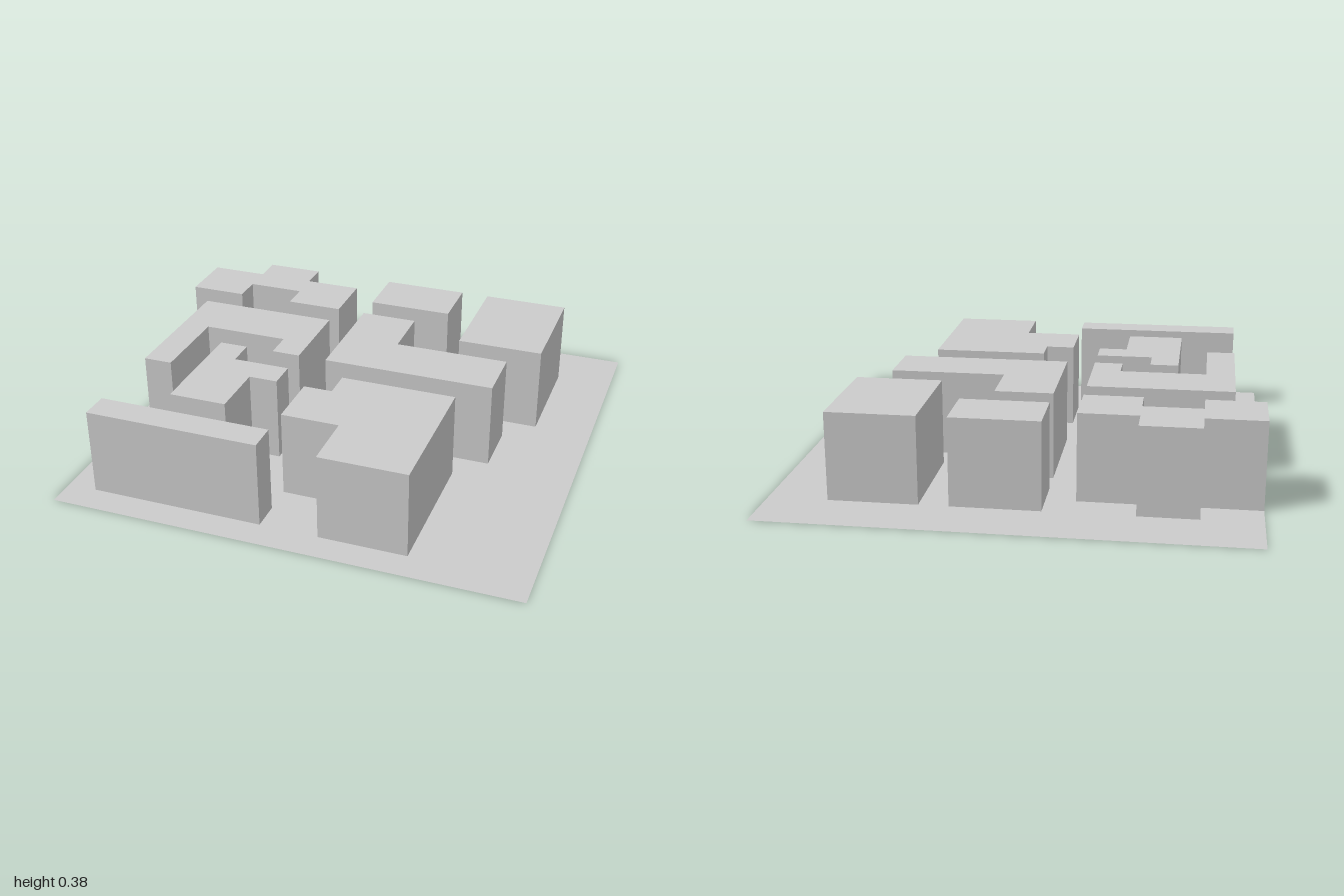
import * as THREE from 'three';
import { mergeGeometries } from 'three/addons/utils/BufferGeometryUtils.js';

const UNIT = 1 / 8; // plan grid step
const HEIGHT = 3 * UNIT;

const rect = (x0, z0, x1, z1) => [[x0, z0], [x1, z0], [x1, z1], [x0, z1]];

// Footprints as [x, z] grid corners, clockwise seen from above
const edgeBlock = [[-8, -5], [-6, -5], [-6, -6], [-4, -6], [-4, -5], [-2, -5],
  [-2, -3], [-4, -3], [-4, -4], [-6, -4], [-6, -3], [-8, -3]];
const innerBlocks = {
  backBlock: rect(-1, -6, 2, -4),
  cornerBlock: rect(3, -6, 6, -2),
  elbowBlock: [[-1, -3], [1, -3], [1, -1], [5, -1], [5, 1], [-1, 1]],
  hookBlock: [[-7, -2], [-2, -2], [-2, 1], [-3, 1], [-3, 0], [-6, 0], [-6, 3], [-7, 3]],
  courtBlock: [[-5, 1], [-4, 1], [-4, 2], [-2, 2], [-2, 3], [-3, 3], [-3, 5], [-5, 5]],
  frontSlab: rect(-7, 6, -1, 7),
  frontBlock: [[0, 2], [4, 2], [4, 7], [1, 7], [1, 5], [-1, 5], [-1, 3], [0, 3]],
};

const toPoints = (plan) => plan.map(([x, z]) => new THREE.Vector2(x * UNIT, -z * UNIT));

// Flat horizontal sheet facing up, with optional openings
function sheet(plan, y, holes = []) {
  const shape = new THREE.Shape(toPoints(plan));
  shape.holes = holes.map((h) => new THREE.Path(toPoints(h)));
  return new THREE.ShapeGeometry(shape).rotateX(-Math.PI / 2).translate(0, y, 0);
}

// One upright wall panel between two plan corners, facing outward
function wall([ax, az], [bx, bz]) {
  const dx = (bx - ax) * UNIT, dz = (bz - az) * UNIT;
  return new THREE.PlaneGeometry(Math.hypot(dx, dz), HEIGHT)
    .rotateY(Math.atan2(dz, -dx))
    .translate((ax + bx) * UNIT / 2, HEIGHT / 2, (az + bz) * UNIT / 2);
}

// Hollow building: roof and walls, open underneath
function building(plan) {
  const walls = plan.map((p, i) => wall(p, plan[(i + 1) % plan.length]));
  return mergeGeometries([sheet(plan, HEIGHT), ...walls]);
}

export function createModel() {
  const group = new THREE.Group();
  group.name = 'cityBlocks';
  const material = new THREE.MeshStandardMaterial({
    color: 0xcccccc, flatShading: true, side: THREE.DoubleSide,
  });
  const add = (name, geometry) => {
    const mesh = new THREE.Mesh(geometry, material);
    mesh.name = name;
    group.add(mesh);
  };

  // Ground sheet, cut away under every building and notched at its edge
  const outline = [...rect(-8, -8, 8, 8), ...[...edgeBlock].reverse()];
  add('ground', sheet(outline, 0, Object.values(innerBlocks)));

  // Buildings
  for (const [name, plan] of Object.entries({ edgeBlock, ...innerBlocks })) add(name, building(plan));
  return group;
}
